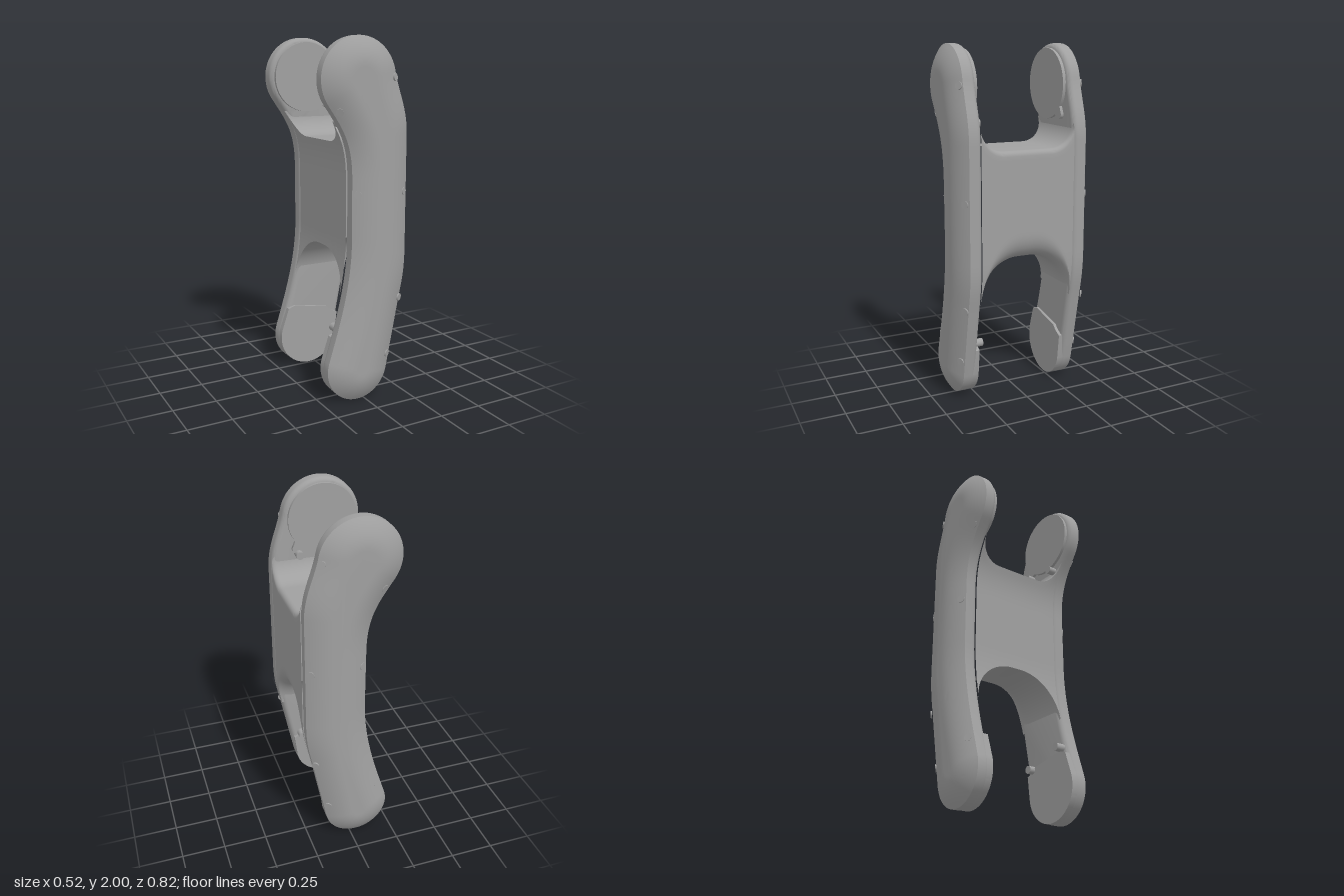
import * as THREE from 'three';
import { toCreasedNormals } from 'three/addons/utils/BufferGeometryUtils.js';

// Side outline shared by both plates (counter-clockwise, x/y)
function makeOutline() {
  const s = new THREE.Shape();
  s.absarc(-0.04, 0.188, 0.188, Math.PI * 160 / 180, Math.PI * 348.5 / 180, false);
  s.lineTo(0.222, 0.545);
  s.bezierCurveTo(0.24, 0.635, 0.26, 0.7, 0.26, 0.83);
  s.lineTo(0.26, 1.48);
  s.bezierCurveTo(0.26, 1.62, 0.205, 1.7, 0.18, 1.822);
  s.absarc(-0.04, 1.775, 0.225, Math.PI * 12 / 180, Math.PI * 215 / 180, false);
  s.bezierCurveTo(-0.138, 1.523, -0.08, 1.45, -0.08, 1.25);
  s.lineTo(-0.08, 0.92);
  s.bezierCurveTo(-0.08, 0.66, -0.165, 0.42, -0.217, 0.252);
  const pts = s.getPoints(20);
  return pts.filter((p, i) => p.distanceTo(pts[(i + 1) % pts.length]) > 1e-3);
}
const outline = makeOutline();

const normals = outline.map((p, i) => {
  const n = outline.length, a = outline[(i + n - 1) % n], b = outline[(i + 1) % n];
  return new THREE.Vector2(b.y - a.y, a.x - b.x).normalize();
});
const inset = d => outline.map((p, i) => p.clone().addScaledVector(normals[i], -d));

// Outline x at height y; side is 1 for right, -1 for left
function edgeX(y, side) {
  let best = -Infinity;
  outline.forEach((a, i) => {
    const b = outline[(i + 1) % outline.length];
    if ((a.y - y) * (b.y - y) <= 0 && a.y !== b.y) {
      best = Math.max(best, side * (a.x + (b.x - a.x) * (y - a.y) / (b.y - a.y)));
    }
  });
  return side * (best - 0.001);
}

// Skin closed rings of [x, y, z]; optional flat caps, optional mirror in z
function loft(rings, caps, mirror) {
  const n = rings[0].length, index = [], pos = [];
  rings.forEach(r => r.forEach(([x, y, z]) => pos.push(x, y, mirror ? -z : z)));
  const tri = (a, b, c) => (mirror ? index.push(a, c, b) : index.push(a, b, c));
  for (let i = 0; i < rings.length - 1; i++) {
    for (let j = 0; j < n; j++) {
      const a = i * n + j, b = i * n + (j + 1) % n;
      tri(a, b, b + n);
      tri(a, b + n, a + n);
    }
  }
  if (caps) {
    const last = (rings.length - 1) * n;
    const flat = r => THREE.ShapeUtils.triangulateShape(r.map(p => new THREE.Vector2(p[0], p[1])), []);
    flat(rings[0]).forEach(([a, b, c]) => tri(a, c, b));
    flat(rings[rings.length - 1]).forEach(([a, b, c]) => tri(last + a, last + b, last + c));
  }
  const g = new THREE.BufferGeometry();
  g.setAttribute('position', new THREE.Float32BufferAttribute(pos, 3));
  g.setIndex(index);
  return toCreasedNormals(g, 0.6);
}

// Plate: rounded inner edge, straight rim, domed outer face
const domeZ = t => 0.35 + 0.058 * (1 - (1 - t) ** 2);
const DOME = 0.155;
function plateGeometry(mirror) {
  const levels = [];
  for (let k = 0; k <= 5; k++) {
    const a = k / 5 * Math.PI / 2;
    levels.push([0.03 * (1 - Math.sin(a)), 0.305 - 0.03 * Math.cos(a)]);
  }
  for (let k = 0; k <= 10; k++) levels.push([DOME * k / 10, domeZ(k / 10)]);
  return loft(levels.map(([d, z]) => inset(d).map(p => [p.x, p.y, z])), true, mirror);
}

// Bridge: saddle on top, arch below, soft edge towards +x
function bridgeGeometry() {
  const rings = [], N = 48, S = 20;
  for (let i = 0; i <= N; i++) {
    const z = 0.28 * Math.sin((i / N * 2 - 1) * Math.PI / 2), az = Math.abs(z);
    const round = (start, r) => Math.sqrt(Math.max(0, 1 - (Math.max(0, az - start) / r) ** 2));
    const ny = round(0.03, 0.25);
    const bottom = 0.58 + 0.25 * ny;
    const top = 1.44 + 0.14 * (1 - round(0.14, 0.14));
    const raise = 0.14 * ny, ring = [];
    ring.push([edgeX(bottom, -1), bottom, z]);
    for (let k = 0; k <= 8; k++) {
      const a = k / 8 * Math.PI / 2, y = bottom + raise * (1 - Math.cos(a));
      ring.push([edgeX(y, 1) - 0.1 * (1 - Math.sin(a)), y, z]);
    }
    for (let k = 1; k < S; k++) {
      const y = THREE.MathUtils.lerp(bottom + raise, top - 0.03, k / S);
      ring.push([edgeX(y, 1), y, z]);
    }
    for (let k = 0; k <= 5; k++) {
      const a = k / 5 * Math.PI / 2, y = top - 0.03 * (1 - Math.sin(a));
      ring.push([edgeX(y, 1) - 0.03 * (1 - Math.cos(a)), y, z]);
    }
    for (let k = 0; k < S; k++) {
      const y = THREE.MathUtils.lerp(top, bottom, k / S);
      ring.push([edgeX(y, -1), y, z]);
    }
    rings.push(ring);
  }
  return loft(rings, false, false);
}

// Inner pads
function upperPadShape() {
  const s = new THREE.Shape();
  s.absarc(-0.04, 1.775, 0.2, -Math.PI * 0.2, Math.PI * 1.68, false);
  s.lineTo(0.095, 1.59);
  s.absarc(0.115, 1.61, 0.025, -Math.PI * 0.6, Math.PI * 0.1, false);
  return s;
}
function lowerPadShape() {
  const s = new THREE.Shape();
  s.absarc(-0.04, 0.188, 0.186, Math.PI * 160 / 180, Math.PI * 348.5 / 180, false);
  s.lineTo(0.16, 0.3);
  s.quadraticCurveTo(0.11, 0.32, 0.09, 0.345);
  s.lineTo(-0.13, 0.385);
  s.lineTo(-0.175, 0.37);
  return s;
}

export function createModel() {
  const model = new THREE.Group();
  const grey = new THREE.MeshStandardMaterial({ color: 0xa0a0a0 });
  grey.name = 'grey';
  const add = (name, geometry) => {
    const m = new THREE.Mesh(geometry, grey);
    m.name = name;
    model.add(m);
    return m;
  };

  add('bridge', bridgeGeometry());
  const ports = [[0.17, 1.785], [-0.165, 1.61], [-0.055, 1.17], [0.235, 1.17],
    [-0.055, 0.75], [0.215, 0.565], [-0.16, 0.335], [0.14, 0.245]];

  for (const side of [1, -1]) {
    const label = side > 0 ? 'front' : 'back';
    add(label + 'Plate', plateGeometry(side < 0));
    for (const [name, shape] of [['UpperPad', upperPadShape()], ['LowerPad', lowerPadShape()]]) {
      const g = new THREE.ExtrudeGeometry(shape, { depth: 0.04, bevelEnabled: false, curveSegments: 32 });
      g.translate(0, 0, side > 0 ? 0.258 : -0.298);
      add(label + name, toCreasedNormals(g, 0.6));
    }
    // Small round screw seats around the rim of the dome
    for (const [x, y] of ports) {
      let near = 0;
      outline.forEach((p, i) => {
        if (Math.hypot(p.x - x, p.y - y) < Math.hypot(outline[near].x - x, outline[near].y - y)) near = i;
      });
      const nrm = normals[near], t = 0.025 / DOME;
      const seat = add(label + 'ScrewSeat', new THREE.CylinderGeometry(0.021, 0.021, 0.008, 20));
      const dir = new THREE.Vector3(nrm.x * 0.62, nrm.y * 0.62, side).normalize();
      seat.position.set(x, y, side * domeZ(t));
      seat.quaternion.setFromUnitVectors(new THREE.Vector3(0, 1, 0), dir);
    }
  }

  // Locating pins on the inside of the front plate
  for (const [x, y] of [[0.103, 1.58], [-0.105, 1.545], [0.115, 0.33], [-0.13, 0.405]]) {
    const pin = add('pin', new THREE.CylinderGeometry(0.023, 0.023, 0.07, 24));
    pin.rotation.x = Math.PI / 2;
    pin.position.set(x, y, 0.26);
  }
  return model;
}
